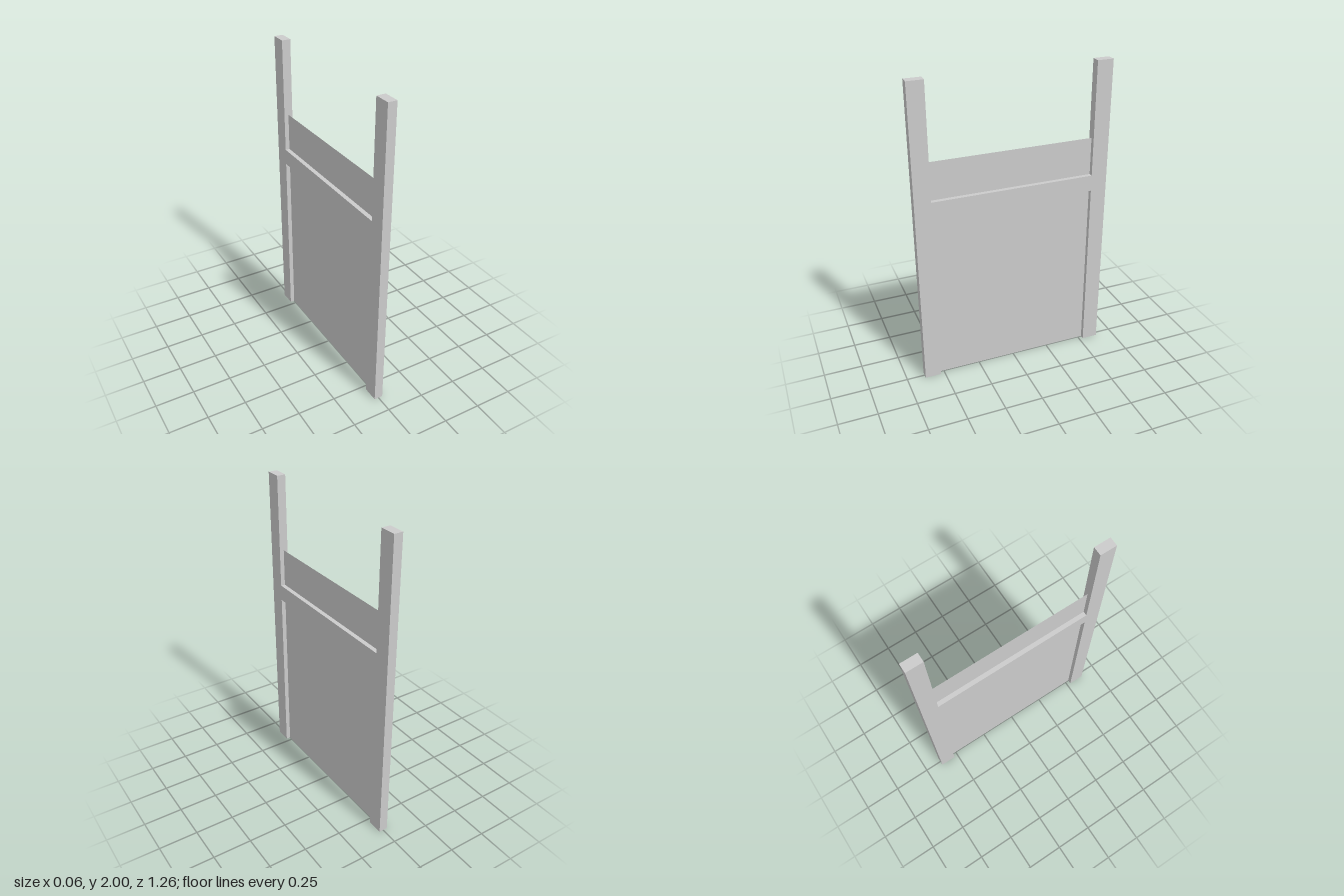
import * as THREE from 'three';

const T = 0.057;                        // frame thickness
const OUTER = 0.632, INNER = 0.527;     // post edges along z
const RAIL_LOW = 1.159, RAIL_HIGH = 1.264;
const PANEL_TOP = 1.508;

export function createModel() {
  const group = new THREE.Group();
  const material = new THREE.MeshStandardMaterial({ color: 0xcccccc, flatShading: true });

  // H-shaped frame: two posts joined flush by a rail
  const outline = [
    [-OUTER, 0], [-INNER, 0], [-INNER, RAIL_LOW], [INNER, RAIL_LOW], [INNER, 0], [OUTER, 0],
    [OUTER, 2], [INNER, 2], [INNER, RAIL_HIGH], [-INNER, RAIL_HIGH], [-INNER, 2], [-OUTER, 2],
  ].map(([z, y]) => new THREE.Vector2(z, y));
  const frameGeometry = new THREE.ExtrudeGeometry(new THREE.Shape(outline), { depth: T, bevelEnabled: false });
  frameGeometry.translate(0, 0, -T / 2).rotateY(Math.PI / 2);
  const frame = new THREE.Mesh(frameGeometry, material);
  frame.name = 'frame';
  group.add(frame);

  // Thin sheet set midway through the frame, rising above the rail
  const sheetMaterial = material.clone();
  sheetMaterial.side = THREE.DoubleSide;
  const panel = new THREE.Mesh(
    new THREE.PlaneGeometry(2 * INNER, PANEL_TOP).rotateY(Math.PI / 2), sheetMaterial);
  panel.position.y = PANEL_TOP / 2;
  panel.name = 'panel';
  group.add(panel);

  return group;
}
